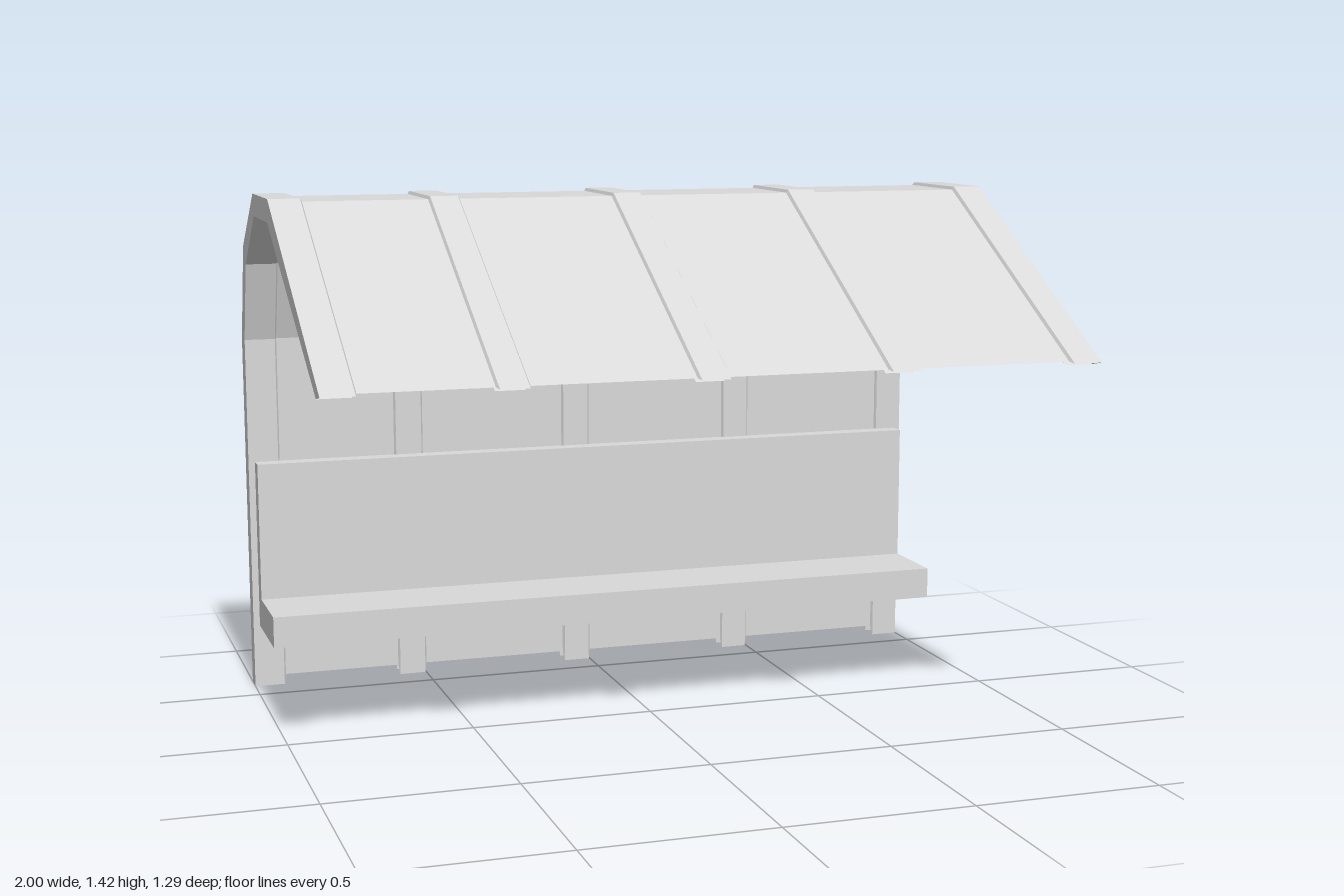
import * as THREE from 'three';

// Outlines as [z, y]: outer skin runs from canopy tip to foot, inner skin from foot to tip
const RIB = {
  outer: [[0.645, 1.01], [-0.08, 1.42], [-0.345, 1.42], [-0.56, 1.265], [-0.645, 1.0], [-0.645, 0]],
  inner: [[-0.59, 0], [-0.59, 1.0], [-0.52, 1.217], [-0.333, 1.36], [-0.095, 1.36], [0.595, 1.0]],
};
const PANEL = {
  outer: [[0.624, 1.013], [-0.083, 1.412], [-0.342, 1.412], [-0.553, 1.26], [-0.638, 0.999], [-0.638, 0.027]],
  inner: [[-0.597, 0.027], [-0.597, 1.001], [-0.526, 1.22], [-0.336, 1.366], [-0.094, 1.366], [0.588, 1.01]],
};
// Bench skin from the seat's front edge up to the top of the backrest; open below and behind
const BENCH = [[-0.322, 0.178], [-0.322, 0.265], [-0.542, 0.265], [-0.542, 0.653], [-0.593, 0.653]];

const at = (x, [z, y]) => [x, y, z];

function addQuad(pos, ...corners) {
  for (const k of [0, 1, 2, 0, 2, 3]) pos.push(...corners[k]);
}

// Skin between two matching paths at two positions along x
function addSkin(pos, x0, path0, x1, path1) {
  for (let i = 0; i < path0.length - 1; i++) {
    addQuad(pos, at(x0, path0[i]), at(x1, path1[i]), at(x1, path1[i + 1]), at(x0, path0[i + 1]));
  }
}

// Flat end of a rib, between its outer and inner skins
function addCap(pos, x, { outer, inner }) {
  const back = [...inner].reverse();
  for (let i = 0; i < outer.length - 1; i++) {
    const corners = [outer[i], outer[i + 1], back[i + 1], back[i]].map((p) => at(x, p));
    addQuad(pos, ...(x > 0 ? corners.reverse() : corners));
  }
}

function toGeometry(pos) {
  const geometry = new THREE.BufferGeometry();
  geometry.setAttribute('position', new THREE.Float32BufferAttribute(pos, 3));
  geometry.computeVertexNormals();
  return geometry;
}

// Hollow shell through a row of outlines, open at foot and canopy tip
function shell(stations) {
  const pos = [];
  for (let k = 0; k < stations.length - 1; k++) {
    const [x0, a] = stations[k], [x1, b] = stations[k + 1];
    addSkin(pos, x0, a.outer, x1, b.outer);
    addSkin(pos, x0, a.inner, x1, b.inner);
  }
  for (const [x, outline] of stations) {
    if (Math.abs(x) === 1) addCap(pos, x, outline);
  }
  return toGeometry(pos);
}

export function createModel() {
  const model = new THREE.Group();
  model.name = 'benchShelter';
  const grey = new THREE.MeshStandardMaterial({ color: 0xd9d9d9, side: THREE.DoubleSide });
  grey.name = 'light grey';
  const add = (name, geometry) => {
    const mesh = new THREE.Mesh(geometry, grey);
    mesh.name = name;
    model.add(mesh);
  };

  // Raised ribs with bevelled sides; the two end ribs are flat outside
  const ribs = [[-1, -0.911], [-0.582, -0.498], [-0.082, 0.002], [0.418, 0.502], [0.918, 1]];
  const bevel = 0.005;
  ribs.forEach(([a, b], i) => {
    const first = i === 0, last = i === ribs.length - 1;
    const stations = [[first ? a : a + bevel, RIB], [last ? b : b - bevel, RIB]];
    if (!first) stations.unshift([a, PANEL]);
    if (!last) stations.push([b, PANEL]);
    add(`rib${i + 1}`, shell(stations));

    // Recessed panel up to the next rib
    if (!last) add(`panel${i + 1}`, shell([[b, PANEL], [ribs[i + 1][0], PANEL]]));
  });

  // Seat and backrest
  const half = 0.982;
  const benchSkin = [];
  addSkin(benchSkin, -half, BENCH, half, BENCH);
  add('bench', toGeometry(benchSkin));
  const endShape = new THREE.Shape([...BENCH, [-0.593, 0.178]].map(([z, y]) => new THREE.Vector2(z, y)));
  for (const side of [-1, 1]) {
    const end = new THREE.ShapeGeometry(endShape);
    end.rotateY(-Math.PI / 2).translate(side * half, 0, 0);
    add(side > 0 ? 'benchEndLeft' : 'benchEndRight', end);
  }

  return model;
}
